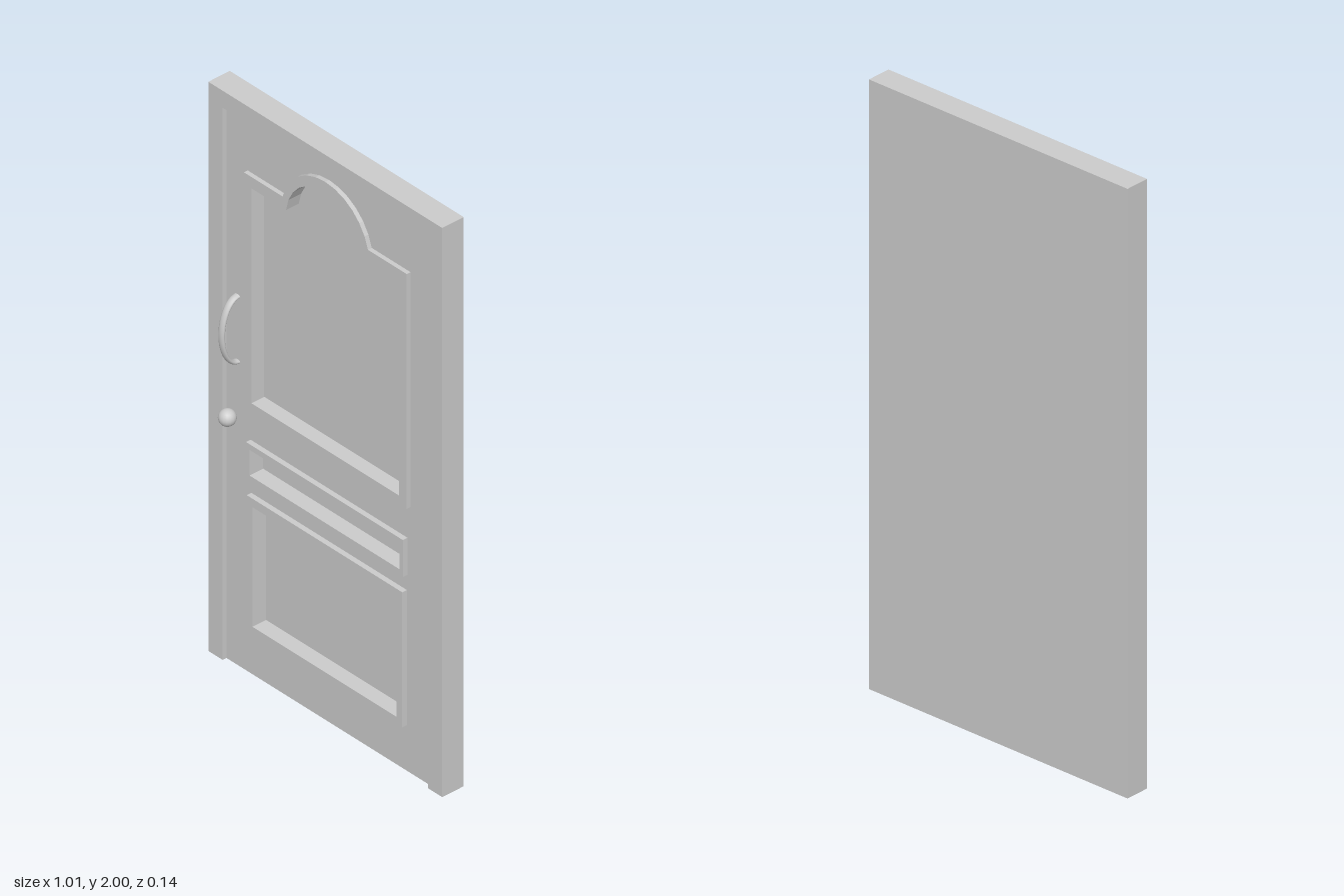
import * as THREE from 'three';

const W = 0.507, LEAF_W = 0.445, LEAF_H = 1.94;
const BACK = -0.069, FRAME_FRONT = 0.015, LEAF_FRONT = 0, PANEL_Z = -0.035;

// Closed rectangular outline, counter-clockwise
const rect = (x, y0, y1) => [[-x, y0], [x, y0], [x, y1], [-x, y1]].map(p => new THREE.Vector2(...p));

// Rectangle with a round arch standing between two shoulders
function arched(x, y0, shoulder, archX, top) {
  const rise = top - shoulder;
  const r = (archX * archX + rise * rise) / (2 * rise);
  const cy = top - r, start = Math.asin((shoulder - cy) / r), n = 12;
  const pts = rect(x, y0, shoulder);
  const arc = [];
  for (let i = 0; i <= n; i++) {
    const a = start + (Math.PI - 2 * start) * i / n;
    arc.push(new THREE.Vector2(r * Math.cos(a), cy + r * Math.sin(a)));
  }
  pts.splice(3, 0, ...arc);
  return pts;
}

export function createModel() {
  const group = new THREE.Group();
  const mat = new THREE.MeshStandardMaterial({ color: 0xcccccc });

  const add = (name, geometry) => {
    const mesh = new THREE.Mesh(geometry, mat);
    mesh.name = name;
    group.add(mesh);
    return mesh;
  };
  // Extrudes an outline with holes from z0 to z1
  const slab = (name, outline, holes, z0, z1) => {
    const shape = new THREE.Shape(outline);
    shape.holes = holes.map(h => new THREE.Path(h));
    const geo = new THREE.ExtrudeGeometry(shape, { depth: z1 - z0, bevelEnabled: false });
    return add(name, geo.translate(0, 0, z0));
  };

  // Surround: two jambs and a header in one piece
  const surround = [[-W, 0], [-LEAF_W, 0], [-LEAF_W, LEAF_H], [LEAF_W, LEAF_H],
    [LEAF_W, 0], [W, 0], [W, 2], [-W, 2]].map(p => new THREE.Vector2(...p));
  slab('doorFrame', surround, [], BACK, FRAME_FRONT);

  // Panels: outer and inner outline of each moulding
  const panels = [
    { name: 'upperMoulding', front: 0.015,
      outer: arched(0.353, 0.935, 1.76, 0.185, 1.905),
      inner: arched(0.32, 0.965, 1.72, 0.17, 1.87) },
    { name: 'middleMoulding', front: 0.018,
      outer: rect(0.34, 0.69, 0.82), inner: rect(0.325, 0.71, 0.8) },
    { name: 'lowerMoulding', front: 0.018,
      outer: rect(0.337, 0.16, 0.635), inner: rect(0.312, 0.185, 0.605) },
  ];

  // Leaf: pierced front layer over a plain back layer that forms the panel floors
  slab('leafFront', rect(LEAF_W, 0, LEAF_H), panels.map(p => p.inner), PANEL_Z, LEAF_FRONT);
  slab('leafBack', rect(LEAF_W, 0, LEAF_H), [], BACK, PANEL_Z);
  for (const p of panels) slab(p.name, p.outer, [p.inner], LEAF_FRONT, p.front);

  // Bowed pull handle, wider than it is thick
  const bow = [];
  for (let i = 0; i <= 12; i++) {
    const a = -Math.PI / 2 + Math.PI * i / 12;
    bow.push(new THREE.Vector3(0, 0.115 * Math.sin(a), 0.062 * Math.cos(a)));
  }
  const handle = add('pullHandle',
    new THREE.TubeGeometry(new THREE.CatmullRomCurve3(bow), 32, 0.007, 12, false));
  handle.scale.x = 1.75;
  handle.position.set(-0.397, 1.183, 0);

  // Round knob below the handle
  const knob = add('knob', new THREE.SphereGeometry(0.028, 16, 12));
  knob.position.set(-0.4, 0.885, 0.037);

  return group;
}
